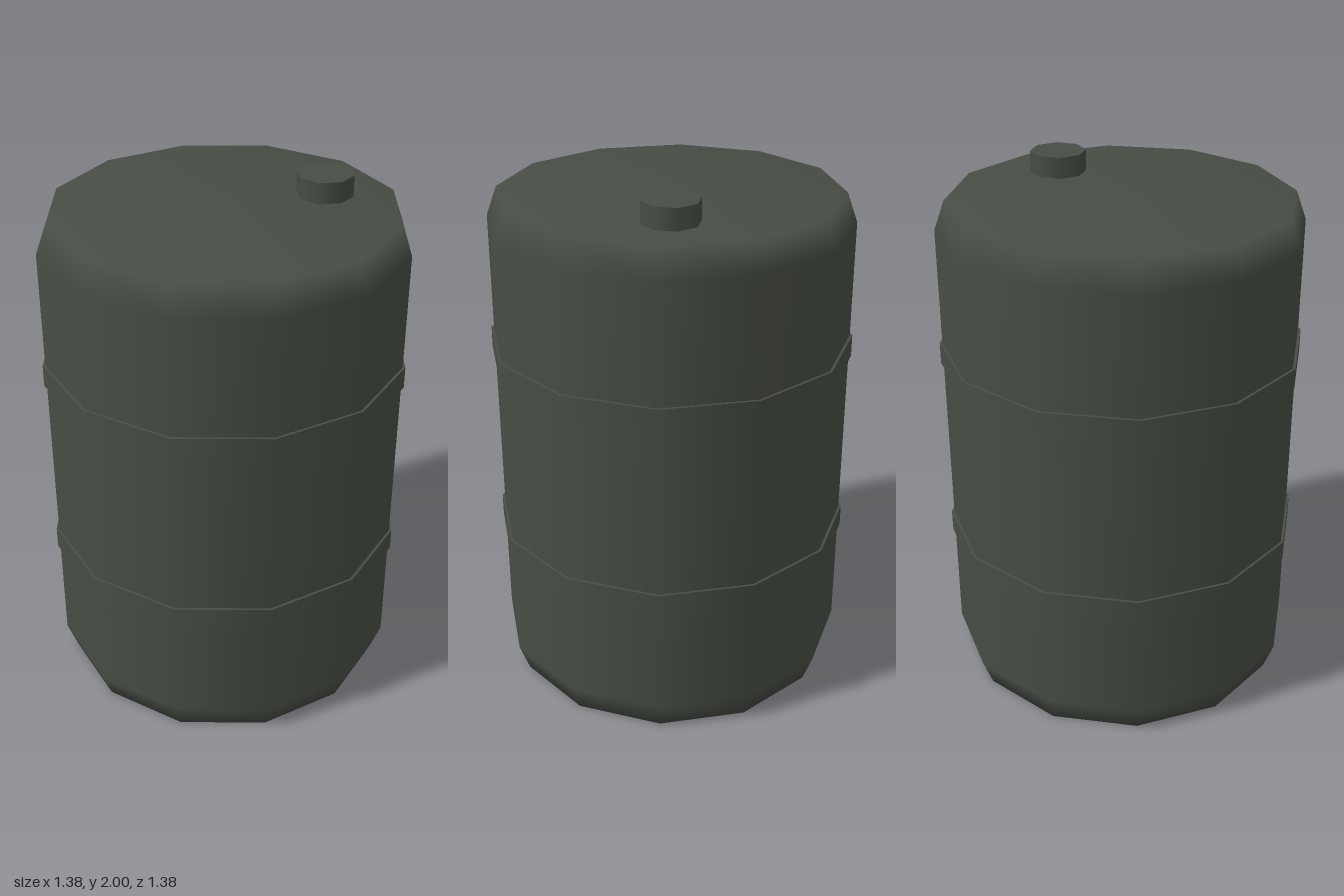
import * as THREE from 'three';

const SIDES = 12;
const HEIGHT = 1.92;

export function createModel() {
  const barrel = new THREE.Group();
  barrel.name = 'barrel';

  const plastic = new THREE.MeshStandardMaterial({ color: 0x474d45 });
  plastic.name = 'dark olive plastic';

  const add = (name, geometry, x, y, z) => {
    const mesh = new THREE.Mesh(geometry, plastic);
    mesh.name = name;
    mesh.position.set(x, y, z);
    barrel.add(mesh);
    return mesh;
  };

  // Drum with chamfered ends, smooth across the rims
  const profile = [
    [0.02, 0], [0.64, 0], [0.68, 0.11],
    [0.68, 1.81], [0.64, HEIGHT], [0.02, HEIGHT],
  ].map(([r, y]) => new THREE.Vector2(r, y));
  add('body', new THREE.LatheGeometry(profile, SIDES), 0, 0, 0);

  // Small flat discs closing the centre of each end
  const disc = new THREE.CircleGeometry(0.02, SIDES);
  add('topCentreDisc', disc, 0, HEIGHT, 0).rotation.x = -Math.PI / 2;
  add('bottomCentreDisc', disc, 0, 0, 0).rotation.x = Math.PI / 2;

  // Raised hoops around the drum
  const hoop = new THREE.CylinderGeometry(0.69, 0.69, 0.085, SIDES);
  add('lowerHoop', hoop, 0, 0.577, 0);
  add('upperHoop', hoop, 0, 1.323, 0);

  // Filler cap, off centre towards the back
  add('fillerCap', new THREE.CylinderGeometry(0.106, 0.106, 0.08, 8), 0.32, 1.96, -0.215);

  return barrel;
}
